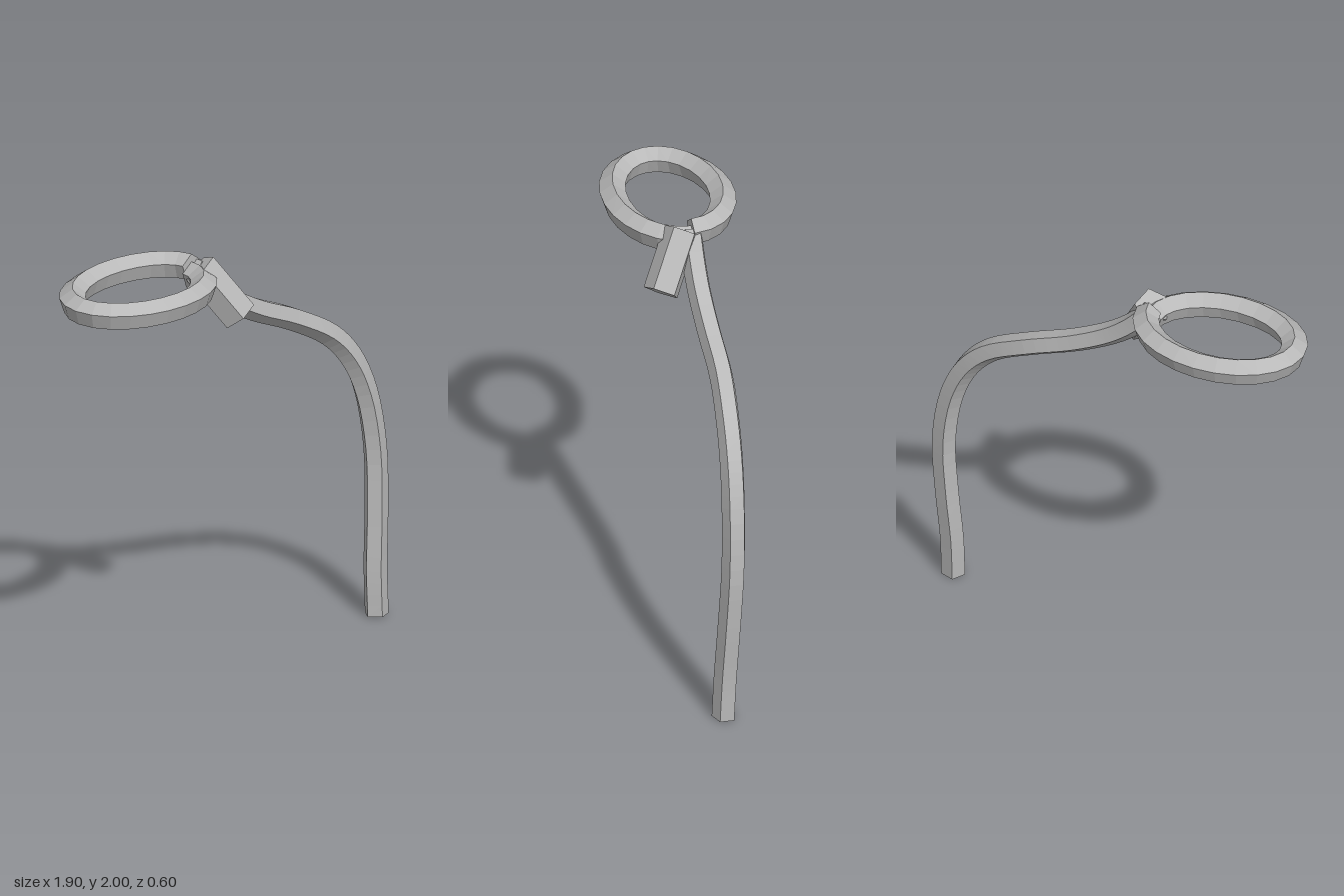
import * as THREE from 'three';

const SIDES = 5;
const steel = new THREE.MeshStandardMaterial({ color: 0xb8b8b8 });
steel.name = 'plain grey';
steel.flatShading = true;

// Sweeps a pentagon along a curve; ref(tangent) tells where its first corner points.
function sweep(name, curve, segments, radius, ref) {
  const pos = [], index = [];
  for (let i = 0; i <= segments; i++) {
    const p = curve.getPoint(i / segments);
    const t = curve.getTangent(i / segments);
    const n = ref(t).addScaledVector(t, -ref(t).dot(t)).normalize();
    const b = new THREE.Vector3().crossVectors(t, n);
    for (let j = 0; j < SIDES; j++) {
      const a = (j / SIDES) * Math.PI * 2;
      const v = p.clone()
        .addScaledVector(n, Math.cos(a) * radius)
        .addScaledVector(b, Math.sin(a) * radius);
      pos.push(v.x, v.y, v.z);
    }
  }
  for (let i = 0; i < segments; i++) {
    for (let j = 0; j < SIDES; j++) {
      const k = (j + 1) % SIDES;
      const a = i * SIDES + j, b = i * SIDES + k;
      index.push(a, b, b + SIDES, a, b + SIDES, a + SIDES);
    }
  }
  // End caps
  const e = segments * SIDES;
  for (let j = 1; j < SIDES - 1; j++) index.push(0, j + 1, j, e, e + j, e + j + 1);

  const geometry = new THREE.BufferGeometry();
  geometry.setAttribute('position', new THREE.Float32BufferAttribute(pos, 3));
  geometry.setIndex(index);
  const flat = geometry.toNonIndexed();
  flat.computeVertexNormals();
  const mesh = new THREE.Mesh(flat, steel);
  mesh.name = name;
  return mesh;
}

// One oval turn that sinks slightly from its start to its end
class LoopCurve extends THREE.Curve {
  getPoint(t, target = new THREE.Vector3()) {
    const a = t * Math.PI * 2;
    return target.set(-0.54 + 0.355 * Math.cos(a), 1.937 - 0.037 * t, -0.24 * Math.sin(a));
  }
}

export function createModel() {
  const group = new THREE.Group();
  group.name = 'ropeLoop';

  // Oval loop at the top, one corner of the section pointing up
  group.add(sweep('loop', new LoopCurve(), 24, 0.063, () => new THREE.Vector3(0, 1, 0)));

  // Long hanging tail, one corner on the inside of the bend
  const tailPath = new THREE.CatmullRomCurve3([
    [-0.185, 1.935, 0], [-0.09, 1.83, 0.01], [0.02, 1.74, 0.02], [0.2, 1.635, 0.03],
    [0.43, 1.53, 0.043], [0.64, 1.405, 0.075], [0.76, 1.27, 0.095], [0.845, 1.08, 0.112],
    [0.892, 0.8, 0.127], [0.885, 0.5, 0.142], [0.865, 0.22, 0.155], [0.863, 0.005, 0.165],
  ].map((p) => new THREE.Vector3(...p)));
  const zAxis = new THREE.Vector3(0, 0, 1);
  group.add(sweep('tail', tailPath, 44, 0.057,
    (t) => new THREE.Vector3().crossVectors(t, zAxis)));

  // Short thick end sticking out of the joint
  const stubPath = new THREE.LineCurve3(
    new THREE.Vector3(-0.185, 1.945, 0.043), new THREE.Vector3(-0.06, 1.713, 0.178));
  group.add(sweep('knotEnd', stubPath, 1, 0.085, () => new THREE.Vector3(-0.045, 0.015, 0.067)));

  return group;
}
